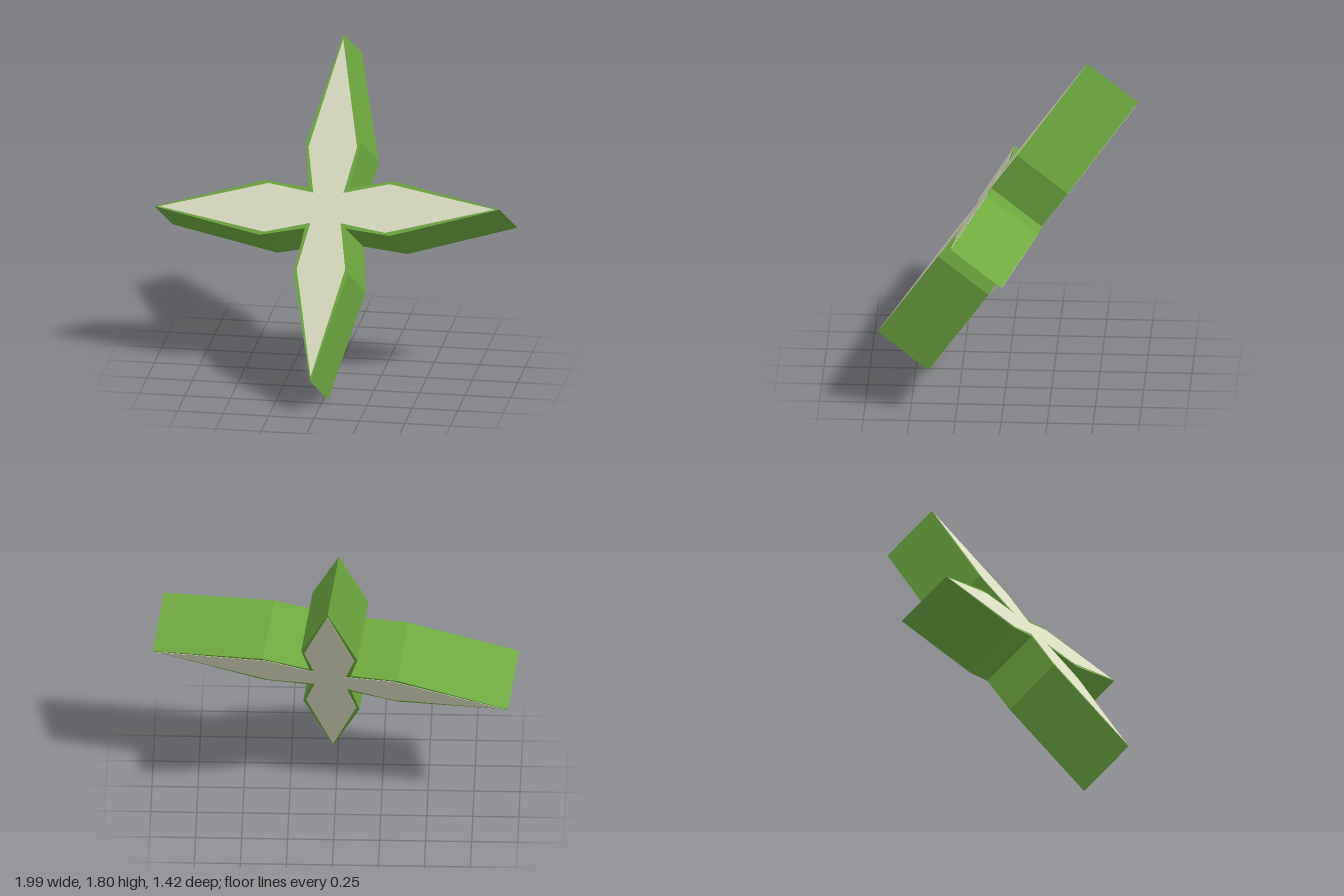
import * as THREE from 'three';

const DEPTH = 0.346;

// Four-armed star outline: each arm has a tip, a right notch and two shoulders
function starShape(tip, shoulderHalf, shoulderAt, notch) {
  const arm = [[notch, notch], [shoulderHalf, shoulderAt], [0, tip], [-shoulderHalf, shoulderAt]];
  const points = [];
  for (let k = 0; k < 4; k++) {
    const c = Math.cos(k * Math.PI / 2), s = Math.sin(k * Math.PI / 2);
    for (const [x, y] of arm) points.push(new THREE.Vector2(x * c - y * s, x * s + y * c));
  }
  return new THREE.Shape(points);
}

// Straight extrusion centred on z
function slab(shape, depth) {
  const geometry = new THREE.ExtrudeGeometry(shape, { depth, bevelEnabled: false });
  geometry.translate(0, 0, -depth / 2);
  return geometry;
}

export function createModel() {
  const green = new THREE.MeshStandardMaterial({ color: 0x6faa3f });
  green.name = 'leaf green';
  const cream = new THREE.MeshStandardMaterial({ color: 0xdcdec3 });
  cream.name = 'pale cream';

  const star = new THREE.Group();
  star.name = 'star';

  // Thick green body
  const body = new THREE.Mesh(slab(starShape(0.981, 0.155, 0.37, 0.115), DEPTH), green);
  body.name = 'starBody';
  star.add(body);

  // Pale inset panels on both faces
  const panel = slab(starShape(0.955, 0.138, 0.345, 0.086), 0.004);
  for (const [name, side] of [['frontPanel', 1], ['backPanel', -1]]) {
    const mesh = new THREE.Mesh(panel, cream);
    mesh.name = name;
    mesh.position.z = side * DEPTH / 2;
    star.add(mesh);
  }

  // Tilt the star back and slightly sideways
  const normal = new THREE.Vector3(-0.158, 0.575, 0.805).normalize();
  const up = new THREE.Vector3(0, 0.814, -0.581).normalize();
  const right = new THREE.Vector3().crossVectors(up, normal).normalize();
  up.crossVectors(normal, right);
  star.quaternion.setFromRotationMatrix(new THREE.Matrix4().makeBasis(right, up, normal));
  star.position.y = 0.9;

  const model = new THREE.Group();
  model.name = 'tiltedStar';
  model.add(star);
  return model;
}
